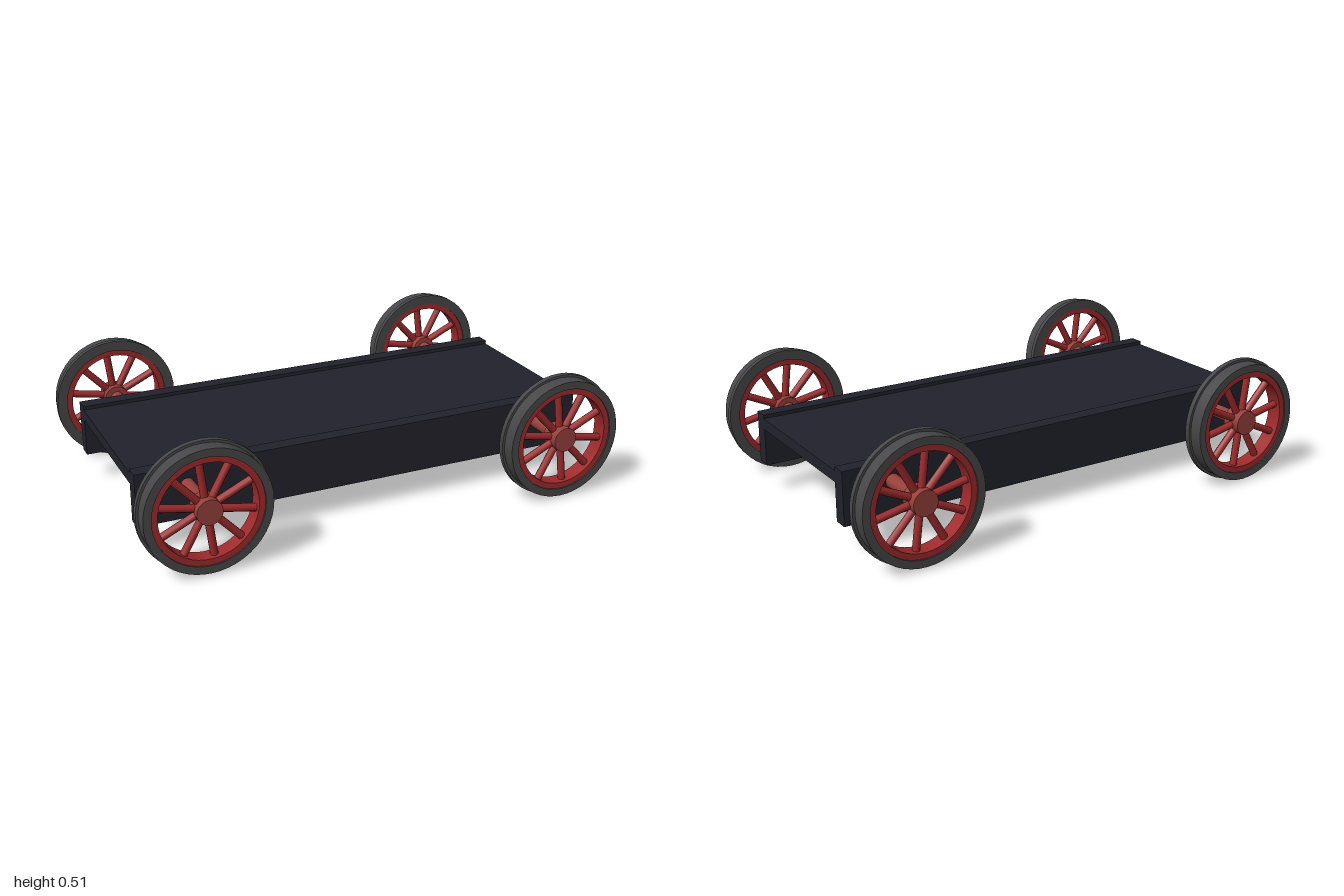
import * as THREE from 'three';
import { toCreasedNormals } from 'three/addons/utils/BufferGeometryUtils.js';

const mat = (name, color) => {
  const m = new THREE.MeshStandardMaterial({ color });
  m.name = name;
  return m;
};

const AXLE_X = 0.745, AXLE_Y = 0.256, WHEEL_Z = 0.545;
const SPOKES = 10, SPOKE_START = THREE.MathUtils.degToRad(-11);

export function createModel() {
  const frameMat = mat('dark frame', 0x22222c);
  const tyreMat = mat('grey iron', 0x474749);
  const redMat = mat('wheel red', 0x9e2a2c);
  const axleMat = mat('axle red', 0x96403b);

  const model = new THREE.Group();
  model.name = 'wagonChassis';

  const add = (parent, name, geometry, material, x = 0, y = 0, z = 0) => {
    const mesh = new THREE.Mesh(geometry, material);
    mesh.name = name;
    mesh.position.set(x, y, z);
    parent.add(mesh);
    return mesh;
  };

  // Ring with its axis along z, from a closed (radius, depth) profile
  const ring = (points) => {
    const profile = [...points, points[0]].map(([r, d]) => new THREE.Vector2(r, d));
    return toCreasedNormals(new THREE.LatheGeometry(profile, 48).rotateX(Math.PI / 2), 0.6);
  };

  // Deck and side beams
  add(model, 'deck', new THREE.BoxGeometry(1.89, 0.045, 0.64), frameMat, 0, 0.2975, 0);
  for (const s of [1, -1]) {
    add(model, s > 0 ? 'frontBeam' : 'backBeam',
      new THREE.BoxGeometry(1.89, 0.213, 0.06), frameMat, 0, 0.2285, s * 0.35);
  }

  // Wheel parts; depth runs from the inner flange outward
  const tyreGeo = ring([[0.255, 0], [0.255, 0.022], [0.245, 0.022], [0.245, 0.077], [0.214, 0.077], [0.214, 0]]);
  const rimGeo = ring([[0.216, 0.006], [0.216, 0.071], [0.19, 0.071], [0.19, 0.006]]);
  const hubGeo = new THREE.CylinderGeometry(0.05, 0.05, 0.08, 24).rotateX(Math.PI / 2);
  const spokeGeo = new THREE.CylinderGeometry(0.015, 0.015, 0.165, 10)
    .rotateZ(-Math.PI / 2).translate(0.12, 0, 0);
  const axleGeo = new THREE.CylinderGeometry(0.028, 0.028, 1.14, 20).rotateX(Math.PI / 2);

  for (const sx of [1, -1]) {
    add(model, sx > 0 ? 'leftAxle' : 'rightAxle', axleGeo, axleMat, sx * AXLE_X, AXLE_Y, 0);

    for (const sz of [1, -1]) {
      const wheel = new THREE.Group();
      wheel.name = (sz > 0 ? 'front' : 'back') + (sx > 0 ? 'Left' : 'Right') + 'Wheel';
      wheel.position.set(sx * AXLE_X, AXLE_Y, sz * WHEEL_Z);
      if (sz < 0) wheel.rotation.y = Math.PI;
      add(wheel, 'tyre', tyreGeo, tyreMat);
      add(wheel, 'rim', rimGeo, redMat);
      add(wheel, 'hub', hubGeo, axleMat, 0, 0, 0.04);
      // Spokes line up across each axle
      for (let i = 0; i < SPOKES; i++) {
        const a = SPOKE_START + (i / SPOKES) * Math.PI * 2;
        add(wheel, 'spoke', spokeGeo, redMat, 0, 0, 0.04).rotation.z = sz > 0 ? a : Math.PI - a;
      }
      model.add(wheel);
    }
  }
  return model;
}
